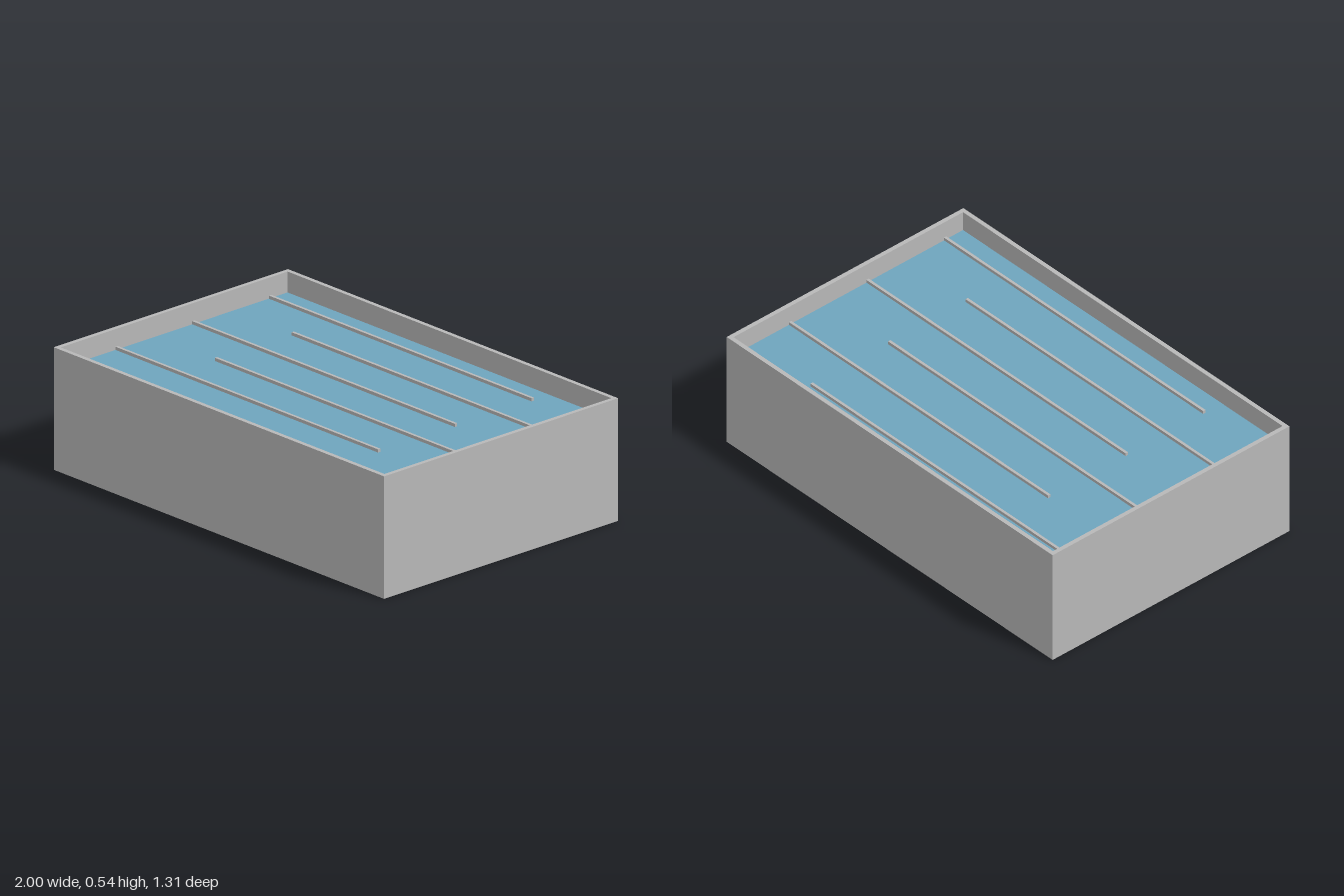
import * as THREE from 'three';

const W = 2, H = 0.54, D = 1.31;   // outer tank size
const WALL = 0.02, FLOOR = 0.02;
const WATER = 0.448;               // water level
const BAFFLE_TOP = 0.462, BAFFLE_T = 0.013, BAFFLE_L = 1.59;

export function createModel() {
  const concrete = new THREE.MeshStandardMaterial({ color: 0xb8b8b8 });
  concrete.name = 'concrete';
  const waterBlue = new THREE.MeshStandardMaterial({ color: 0x6ea4bd });
  waterBlue.name = 'water blue';

  const model = new THREE.Group();
  model.name = 'baffledTank';

  const add = (name, geometry, material, x, y, z) => {
    const mesh = new THREE.Mesh(geometry, material);
    mesh.name = name;
    mesh.position.set(x, y, z);
    model.add(mesh);
    return mesh;
  };
  const rectangle = (Type, w, d) => new Type([
    new THREE.Vector2(-w / 2, -d / 2), new THREE.Vector2(w / 2, -d / 2),
    new THREE.Vector2(w / 2, d / 2), new THREE.Vector2(-w / 2, d / 2),
  ]);

  // Walls: one rectangular ring, extruded upwards
  const innerW = W - 2 * WALL, innerD = D - 2 * WALL;
  const ring = rectangle(THREE.Shape, W, D);
  ring.holes.push(rectangle(THREE.Path, innerW, innerD));
  const walls = new THREE.ExtrudeGeometry(ring, { depth: H, bevelEnabled: false });
  walls.rotateX(-Math.PI / 2);
  add('tankWalls', walls, concrete, 0, 0, 0);

  // Floor slab between the walls
  add('tankFloor', new THREE.BoxGeometry(innerW, FLOOR, innerD), concrete, 0, FLOOR / 2, 0);

  // Water surface
  const surface = new THREE.PlaneGeometry(innerW, innerD).rotateX(-Math.PI / 2);
  add('water', surface, waterBlue, 0, WATER, 0);

  // Six baffles, attached alternately to the two end walls
  const height = BAFFLE_TOP - FLOOR;
  const baffle = new THREE.BoxGeometry(BAFFLE_L, height, BAFFLE_T);
  for (let i = 0; i < 6; i++) {
    const side = i % 2 ? 1 : -1;
    add('baffle' + (i + 1), baffle, concrete,
      side * (innerW - BAFFLE_L) / 2, FLOOR + height / 2, (i - 2.5) * 0.2145);
  }

  return model;
}
